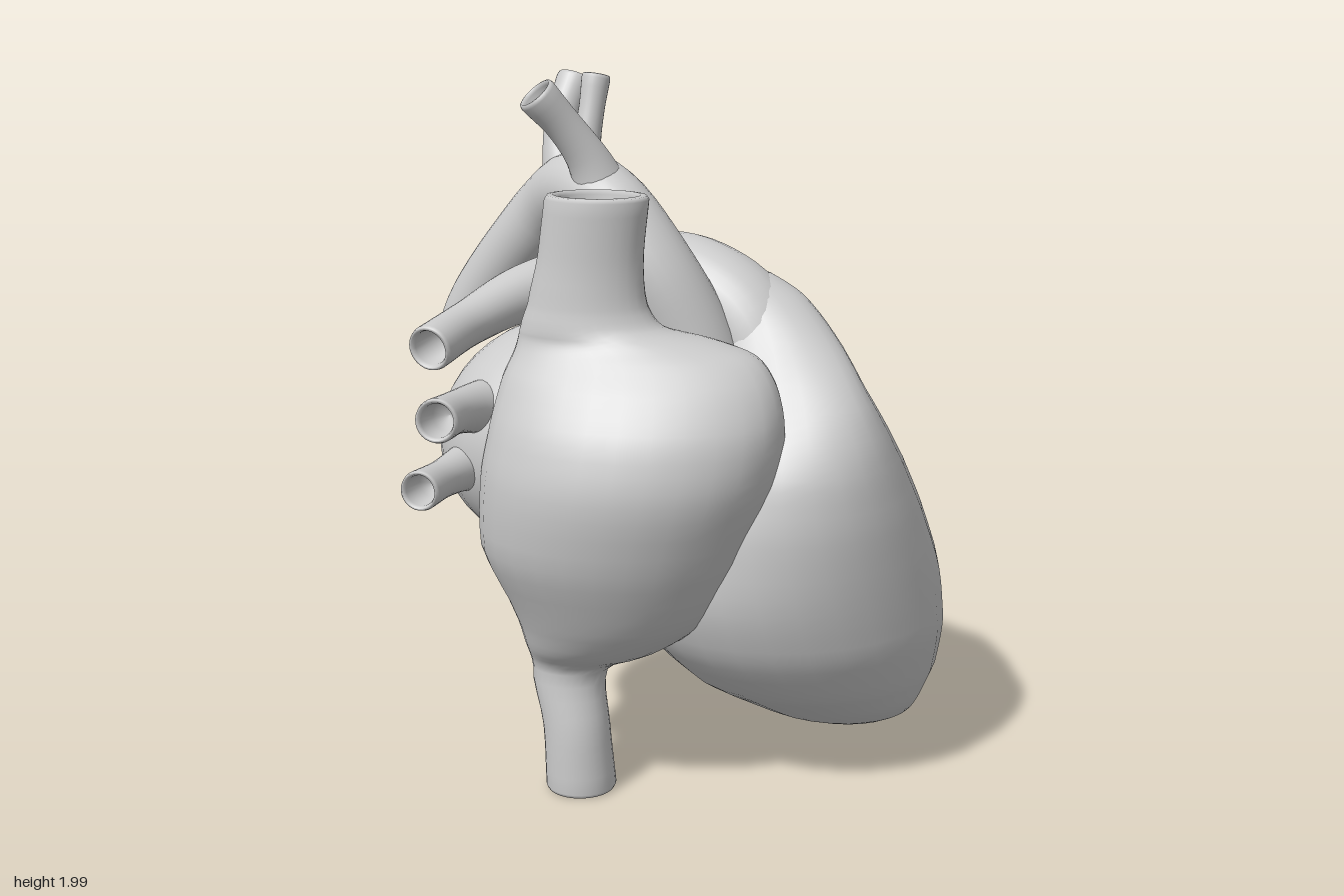
import * as THREE from 'three';

const V = (x, y, z) => new THREE.Vector3(x, y, z);
const SIDES = 28;
const material = new THREE.MeshStandardMaterial({ color: 0xcccccc, roughness: 0.8 });

// Skins a row of elliptical rings { c: centre, a, b: half axes }, a x b pointing along the row.
function skin(rings) {
  const pos = [], index = [];
  for (const { c, a, b } of rings) {
    for (let j = 0; j < SIDES; j++) {
      const t = (j / SIDES) * Math.PI * 2;
      const p = c.clone().addScaledVector(a, Math.cos(t)).addScaledVector(b, Math.sin(t));
      pos.push(p.x, p.y, p.z);
    }
  }
  for (let i = 0; i < rings.length - 1; i++) {
    for (let j = 0; j < SIDES; j++) {
      const k = (j + 1) % SIDES;
      const p = i * SIDES + j, q = i * SIDES + k;
      index.push(p, q, q + SIDES, p, q + SIDES, p + SIDES);
    }
  }
  const g = new THREE.BufferGeometry();
  g.setAttribute('position', new THREE.Float32BufferAttribute(pos, 3));
  g.setIndex(index);
  g.computeVertexNormals();
  return g;
}

// Rings continuing from an end ring: a rounded rim, a hollow and its floor.
function mouth(ring, dir, depth = 0.08) {
  return [[0.95, 0.01], [0.84, 0.012], [0.76, 0], [0.72, -depth], [0.001, -depth - 0.01]].map(([s, d]) => ({
    c: ring.c.clone().addScaledVector(dir, d),
    a: ring.a.clone().multiplyScalar(s),
    b: ring.b.clone().multiplyScalar(s),
  }));
}

// Rings from horizontal slices [y, xMin, xMax, zMin, zMax, skew], listed upwards;
// skew moves the left end of a slice to the front.
function slices(rows, steps) {
  const mid = new THREE.CatmullRomCurve3(rows.map(([y, x0, x1, z0, z1]) => V((x0 + x1) / 2, y, (z0 + z1) / 2)));
  const half = new THREE.CatmullRomCurve3(
    rows.map(([, x0, x1, z0, z1, skew = 0]) => V((x1 - x0) / 2, skew, (z1 - z0) / 2)));
  return Array.from({ length: steps + 1 }, (_, i) => {
    const h = half.getPoint(i / steps);
    return { c: mid.getPoint(i / steps), a: V(h.x, 0, h.y), b: V(0, 0, -h.z) };
  });
}

// Open-ended vessel through points [x, y, z, radius].
function vessel(points, steps = 20) {
  const path = new THREE.CatmullRomCurve3(points.map(([x, y, z]) => V(x, y, z)));
  const radius = new THREE.CatmullRomCurve3(points.map((p, i) => V(p[3], i * 0.1, 0)));
  const { tangents, normals, binormals } = path.computeFrenetFrames(steps, false);
  const rings = normals.map((n, i) => {
    const t = path.getUtoTmapping(i / steps);
    const r = radius.getPoint(t).x;
    return { c: path.getPoint(t), a: n.clone().multiplyScalar(r), b: binormals[i].clone().multiplyScalar(r) };
  });
  return skin([...rings, ...mouth(rings[steps], tangents[steps])]);
}

export function createModel() {
  const model = new THREE.Group();
  const add = (name, geometry) => {
    const mesh = new THREE.Mesh(geometry, material);
    mesh.name = name;
    model.add(mesh);
    return mesh;
  };

  // Ventricles, narrowing upwards to the outflow of the pulmonary trunk
  add('ventricles', skin(slices([
    [0.13, 0.479, 0.481, -0.131, -0.129],
    [0.138, 0.35, 0.6, -0.24, -0.02],
    [0.17, 0.22, 0.67, -0.32, 0.06],
    [0.22, 0.12, 0.7, -0.38, 0.13],
    [0.3, 0.02, 0.735, -0.44, 0.23, -0.04],
    [0.45, -0.11, 0.755, -0.5, 0.34, -0.05],
    [0.6, -0.16, 0.74, -0.525, 0.39, -0.04],
    [0.8, -0.17, 0.69, -0.495, 0.4, 0.03],
    [0.95, -0.13, 0.64, -0.42, 0.37, 0.08],
    [1.06, -0.07, 0.595, -0.3, 0.31, 0.1],
    [1.17, -0.02, 0.535, -0.19, 0.22, 0.1],
    [1.3, 0.02, 0.44, -0.17, 0.12, 0.05],
    [1.4, 0.03, 0.34, -0.17, 0.05, 0.02],
    [1.45, 0.05, 0.25, -0.15, 0.0, 0.01],
    [1.48, 0.129, 0.131, -0.081, -0.079],
  ], 56)));

  // Right atrium with the upper and lower caval veins
  const cava = slices([
    [0.02, -0.34, -0.14, 0.15, 0.35],
    [0.2, -0.345, -0.155, 0.165, 0.345],
    [0.37, -0.375, -0.16, 0.165, 0.325],
    [0.45, -0.39, 0.0, 0.12, 0.4],
    [0.55, -0.42, 0.14, 0.05, 0.47],
    [0.75, -0.5, 0.245, 0.0, 0.565],
    [0.95, -0.49, 0.32, 0.0, 0.605],
    [1.1, -0.46, 0.34, 0.05, 0.575],
    [1.22, -0.43, 0.315, 0.1, 0.5],
    [1.29, -0.4, 0.26, 0.13, 0.44],
    [1.325, -0.39, 0.16, 0.15, 0.41],
    [1.36, -0.38, 0.01, 0.17, 0.395],
    [1.42, -0.36, -0.035, 0.18, 0.385],
    [1.55, -0.33, -0.045, 0.185, 0.38],
    [1.7, -0.31, -0.03, 0.175, 0.385],
  ], 56);
  add('rightAtriumAndCavalVeins', skin([
    ...mouth(cava[0], V(0, -1, 0)).reverse(), ...cava, ...mouth(cava[56], V(0, 1, 0), 0.12),
  ]));

  // Left atrium and its ear-shaped pouch
  const ball = new THREE.SphereGeometry(1, 32, 22);
  const atrium = add('leftAtrium', ball);
  atrium.position.set(-0.27, 0.995, 0.03);
  atrium.scale.set(0.41, 0.345, 0.355);
  atrium.rotation.y = 0.5;
  const pouch = add('leftAtrialPouch', ball);
  pouch.position.set(0.05, 1.175, -0.275);
  pouch.scale.set(0.235, 0.17, 0.1);
  pouch.rotation.x = 0.45;

  // Aorta: rising part, arch and descending part
  add('aorta', vessel([
    [0.12, 1.0, 0.05, 0.14], [0.04, 1.3, 0.075, 0.12], [-0.07, 1.5, 0.085, 0.115],
    [-0.19, 1.645, 0.04, 0.11], [-0.3, 1.675, -0.06, 0.108], [-0.4, 1.61, -0.145, 0.1],
    [-0.49, 1.515, -0.185, 0.095], [-0.59, 1.395, -0.22, 0.09], [-0.655, 1.3, -0.24, 0.087],
    [-0.68, 1.245, -0.245, 0.086],
  ], 36));

  // Three branches on the arch
  const branches = [
    [[-0.2, 1.65, 0.03, 0.09], [-0.24, 1.77, 0.06, 0.06], [-0.3, 1.87, 0.1, 0.05], [-0.36, 1.95, 0.14, 0.056]],
    [[-0.28, 1.68, -0.04, 0.07], [-0.275, 1.79, -0.045, 0.045], [-0.26, 1.89, -0.06, 0.036], [-0.25, 1.98, -0.08, 0.04]],
    [[-0.33, 1.65, -0.1, 0.08], [-0.36, 1.76, -0.13, 0.058], [-0.37, 1.86, -0.17, 0.048], [-0.345, 1.96, -0.225, 0.053]],
  ];
  branches.forEach((p, i) => add(`archBranch${i + 1}`, vessel(p, 12)));

  // Pulmonary trunk running into the left artery, with the right artery branching off
  add('pulmonaryTrunkAndLeftArtery', vessel([
    [0.27, 1.15, 0.02, 0.12], [0.18, 1.32, -0.04, 0.14], [0.03, 1.41, -0.1, 0.135],
    [-0.14, 1.435, -0.19, 0.11], [-0.26, 1.43, -0.31, 0.09], [-0.32, 1.41, -0.45, 0.073],
    [-0.34, 1.392, -0.59, 0.068],
  ], 34));
  add('rightPulmonaryArtery', vessel([
    [0.0, 1.41, -0.1, 0.12], [-0.22, 1.43, -0.04, 0.105], [-0.41, 1.41, 0.12, 0.08],
    [-0.52, 1.36, 0.3, 0.062], [-0.57, 1.33, 0.49, 0.062],
  ], 24));

  // Pulmonary veins, two on each side of the left atrium
  const veins = {
    rightUpperVein: [[-0.42, 1.08, 0.12, 0.12], [-0.5, 1.12, 0.28, 0.075], [-0.53, 1.14, 0.42, 0.058], [-0.54, 1.15, 0.55, 0.06]],
    rightLowerVein: [[-0.44, 0.95, 0.12, 0.12], [-0.54, 0.95, 0.27, 0.07], [-0.575, 0.95, 0.4, 0.052], [-0.595, 0.955, 0.54, 0.055]],
    leftUpperVein: [[-0.32, 1.1, -0.2, 0.13], [-0.33, 1.18, -0.34, 0.07], [-0.31, 1.215, -0.47, 0.05], [-0.29, 1.23, -0.585, 0.052]],
    leftLowerVein: [[-0.33, 1.06, -0.2, 0.13], [-0.35, 1.07, -0.34, 0.075], [-0.34, 1.04, -0.45, 0.053], [-0.32, 1.0, -0.545, 0.058]],
  };
  for (const [name, p] of Object.entries(veins)) add(name, vessel(p, 14));

  return model;
}
